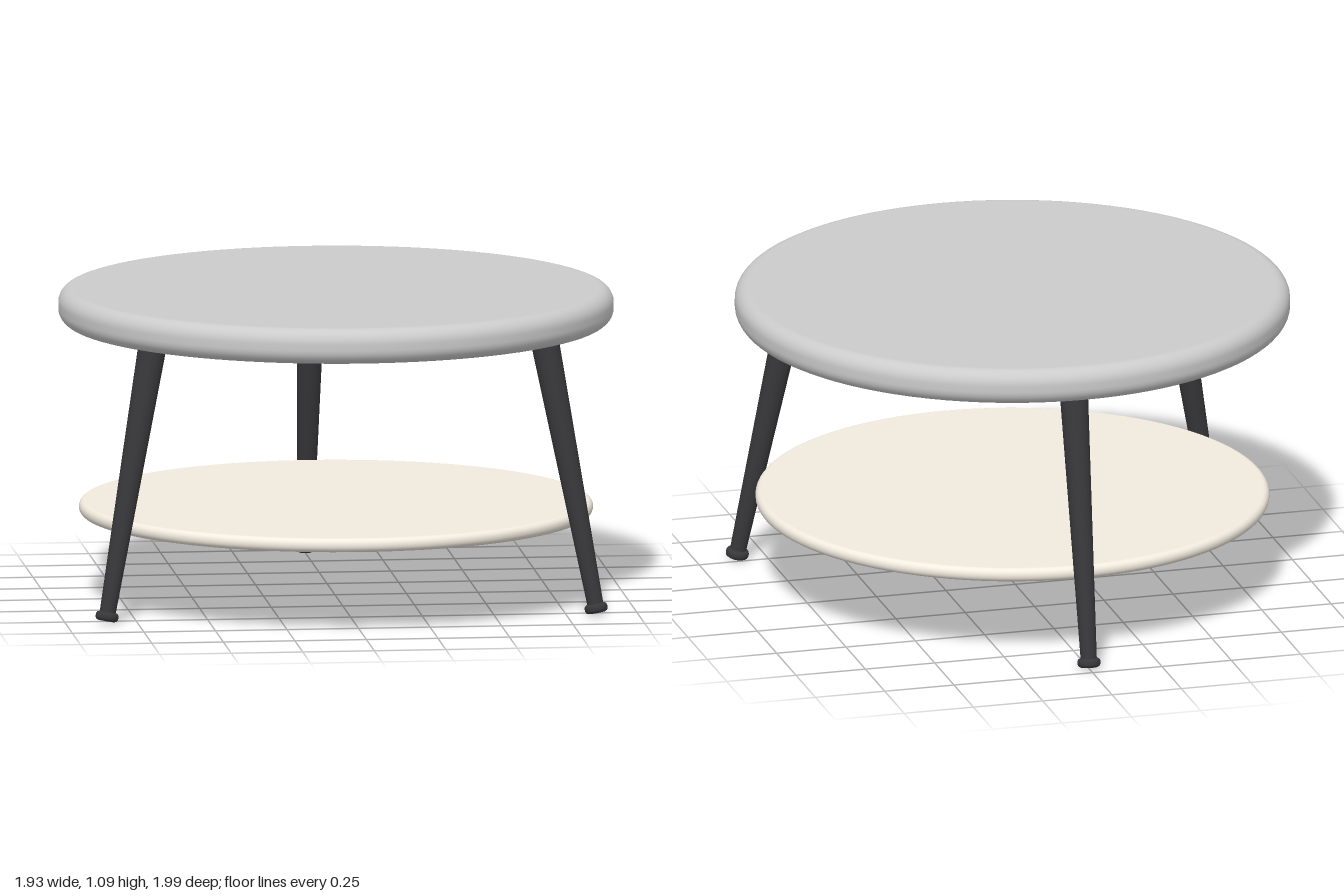
import * as THREE from 'three';

const CENTER_Z = 0.035;

// Round slab with softened rims, turned from a half profile
function roundSlab(name, radius, y0, y1, r, color) {
  const pts = [new THREE.Vector2(0, y0)];
  for (let i = 0; i <= 8; i++) {
    const a = -Math.PI / 2 + (i / 8) * (Math.PI / 2);
    pts.push(new THREE.Vector2(radius - r + r * Math.cos(a), y0 + r + r * Math.sin(a)));
  }
  for (let i = 0; i <= 8; i++) {
    const a = (i / 8) * (Math.PI / 2);
    pts.push(new THREE.Vector2(radius - r + r * Math.cos(a), y1 - r + r * Math.sin(a)));
  }
  pts.push(new THREE.Vector2(0, y1));
  const mesh = new THREE.Mesh(
    new THREE.LatheGeometry(pts, 96),
    new THREE.MeshStandardMaterial({ color })
  );
  mesh.name = name;
  return mesh;
}

// Splayed, tapered leg with a small foot pad square to its axis
function makeLeg(angle, name) {
  const material = new THREE.MeshStandardMaterial({ color: 0x38383b });
  const bottom = new THREE.Vector3(0.99, 0.008, 0);
  const top = new THREE.Vector3(0.785, 0.985, 0);
  const axis = top.clone().sub(bottom);
  const length = axis.length();

  const leg = new THREE.Group();
  leg.name = name;
  leg.position.copy(bottom);
  leg.quaternion.setFromUnitVectors(new THREE.Vector3(0, 1, 0), axis.normalize());

  const shaft = new THREE.Mesh(new THREE.CylinderGeometry(0.05, 0.028, length - 0.02, 32), material);
  shaft.name = 'legShaft';
  shaft.position.y = 0.02 + (length - 0.02) / 2;
  leg.add(shaft);

  const profile = [[0, 0], [0.03, 0], [0.037, 0.004], [0.04, 0.011], [0.04, 0.021], [0.037, 0.028], [0.03, 0.032], [0, 0.032]];
  const foot = new THREE.Mesh(
    new THREE.LatheGeometry(profile.map(([x, y]) => new THREE.Vector2(x, y)), 32),
    material
  );
  foot.name = 'footPad';
  leg.add(foot);

  const pivot = new THREE.Group();
  pivot.name = name + 'Pivot';
  pivot.rotation.y = angle;
  pivot.add(leg);
  return pivot;
}

export function createModel() {
  const table = new THREE.Group();
  table.name = 'roundTable';

  const body = new THREE.Group();
  body.name = 'tableBody';
  body.position.z = CENTER_Z;
  table.add(body);

  // Thick top and thin lower shelf
  body.add(roundSlab('tableTop', 0.965, 0.965, 1.09, 0.052, 0xcccccc));
  body.add(roundSlab('lowerShelf', 0.893, 0.295, 0.344, 0.023, 0xf2ebdf));

  // Three legs, one at the back and two toward the front
  ['backLeg', 'rightLeg', 'leftLeg'].forEach((name, i) => {
    body.add(makeLeg(Math.PI / 2 + (i * Math.PI * 2) / 3, name));
  });

  return table;
}
